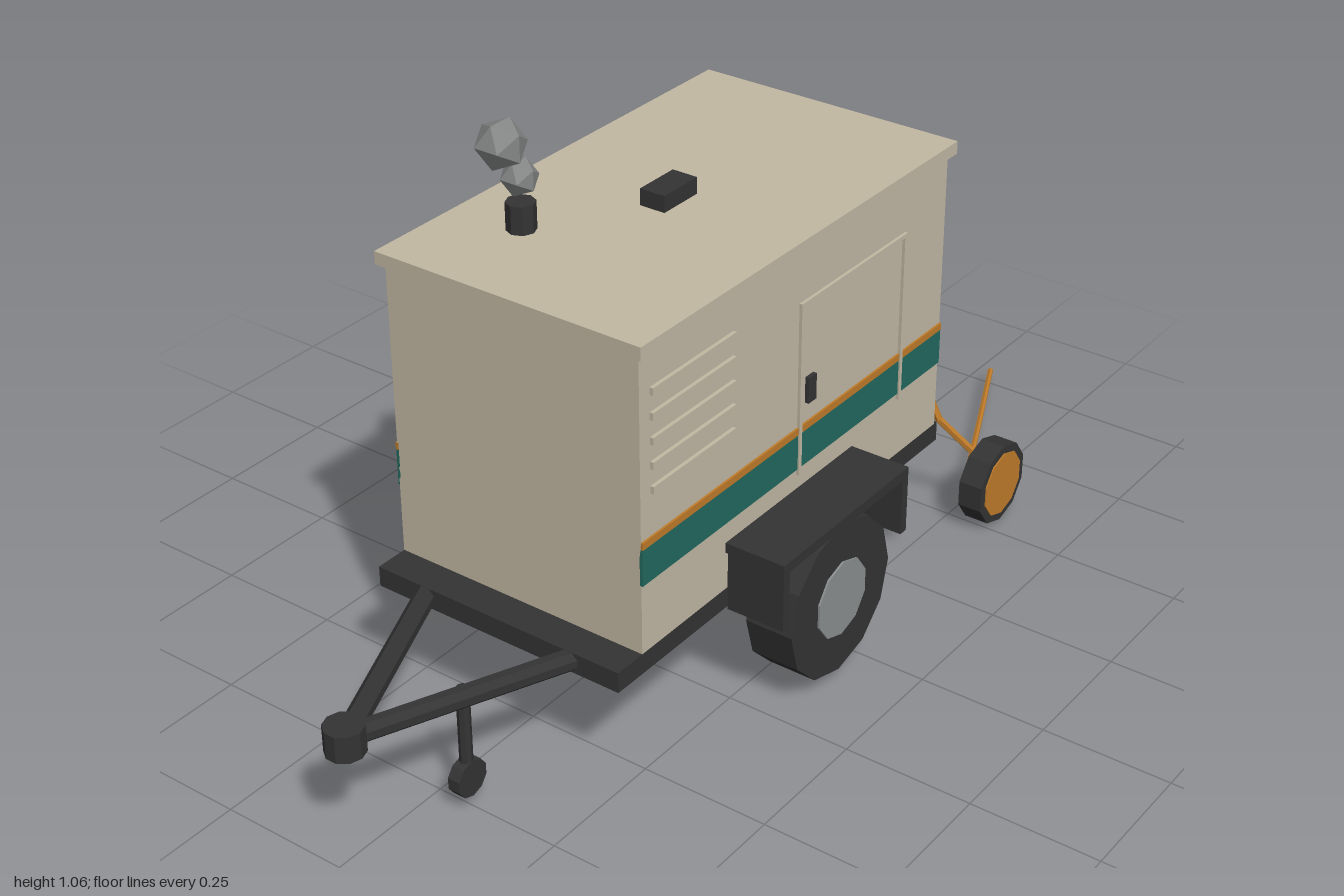
import * as THREE from 'three';

const mat = (name, color, flat = true) => {
  const m = new THREE.MeshStandardMaterial({ color, flatShading: flat });
  m.name = name;
  return m;
};

export function createModel() {
  const root = new THREE.Group();
  root.name = 'towableGenerator';
  const beige = mat('beigePaint', 0xc3b9a4);
  const dark = mat('darkSteel', 0x343434);
  const teal = mat('tealStripe', 0x22695f);
  const orange = mat('orange', 0xc07c2a);
  const hubGrey = mat('hubGrey', 0x8b8f8f);
  const smoke = mat('smokeGrey', 0x858787);

  const add = (name, geo, m, x = 0, y = 0, z = 0) => {
    const mesh = new THREE.Mesh(geo, m);
    mesh.name = name;
    mesh.position.set(x, y, z);
    root.add(mesh);
    return mesh;
  };
  // box given by its extents on each axis
  const box = (name, m, [x0, x1], [y0, y1], [z0, z1]) =>
    add(name, new THREE.BoxGeometry(x1 - x0, y1 - y0, z1 - z0), m,
      (x0 + x1) / 2, (y0 + y1) / 2, (z0 + z1) / 2);
  const cyl = (name, m, r, h, sides, x, y, z) =>
    add(name, new THREE.CylinderGeometry(r, r, h, sides), m, x, y, z);
  // cylinder with its axis along z
  const disc = (...args) => {
    const d = cyl(...args);
    d.rotation.x = Math.PI / 2;
    return d;
  };
  // straight rod between two points
  const rod = (name, m, r, sides, a, b) => {
    const p = new THREE.Vector3(...a), q = new THREE.Vector3(...b);
    const mid = p.clone().add(q).multiplyScalar(0.5);
    const mesh = cyl(name, m, r, p.distanceTo(q), sides, mid.x, mid.y, mid.z);
    mesh.quaternion.setFromUnitVectors(new THREE.Vector3(0, 1, 0), q.sub(p).normalize());
    return mesh;
  };
  const cable = (name, r, pts) => add(name, new THREE.TubeGeometry(
    new THREE.CatmullRomCurve3(pts.map(p => new THREE.Vector3(...p))), 12, r, 6), orange);

  // chassis, housing and roof
  box('chassis', dark, [-0.59, 0.41], [0.225, 0.265], [-0.265, 0.265]);
  box('housing', beige, [-0.524, 0.4], [0.265, 0.837], [-0.265, 0.265]);
  box('roof', beige, [-0.535, 0.41], [0.835, 0.86], [-0.278, 0.278]);
  box('roofHatch', dark, [-0.137, -0.043], [0.858, 0.892], [-0.026, 0.026]);

  // end panel and socket box
  box('endPanel', beige, [0.399, 0.407], [0.313, 0.788], [-0.238, 0.238]);
  box('socketBox', dark, [0.405, 0.415], [0.482, 0.6], [0.052, 0.212]);

  // details repeated on both long sides
  for (const s of [1, -1]) {
    const span = (a, b) => (s > 0 ? [a, b] : [-b, -a]);
    box('tealStripe', teal, [-0.524, 0.4], [0.402, 0.473], span(0.262, 0.268));
    box('orangeStripe', orange, [-0.524, 0.4], [0.473, 0.487], span(0.262, 0.269));
    box('doorFrameSide', beige, [-0.074, -0.066], [0.39, 0.733], span(0.263, 0.271));
    box('doorFrameSide', beige, [0.254, 0.262], [0.39, 0.733], span(0.263, 0.271));
    box('doorFrameTop', beige, [-0.074, 0.262], [0.725, 0.733], span(0.263, 0.271));
    box('doorHandle', dark, [-0.051, -0.027], [0.527, 0.578], span(0.263, 0.273));
    for (let i = 0; i < 5; i++) {
      const y = 0.76 - i * 0.046;
      box('louver', beige, [-0.497, -0.268], [y - 0.007, y + 0.007], span(0.263, 0.272));
    }

    // wheel, hub and mudguard
    disc('tyre', dark, 0.156, 0.096, 12, -0.09, 0.182, s * 0.329);
    disc('hub', hubGrey, 0.077, 0.104, 10, -0.09, 0.182, s * 0.329);
    box('mudguardTop', dark, [-0.287, 0.107], [0.34, 0.36], span(0.265, 0.387));
    box('mudguardEnd', dark, [-0.287, -0.269], [0.225, 0.345], span(0.27, 0.387));
    box('mudguardEnd', dark, [0.089, 0.107], [0.225, 0.345], span(0.27, 0.387));

    // support leg and drawbar
    cyl('supportLeg', dark, 0.013, 0.2, 8, 0.358, 0.13, s * 0.212);
    rod('drawbar', dark, 0.02, 8, [-0.96, 0.246, 0], [-0.575, 0.246, s * 0.165]);
  }

  // hitch and jockey wheel
  cyl('hitchCoupler', dark, 0.036, 0.052, 10, -0.964, 0.246, 0);
  cyl('jockeyLeg', dark, 0.012, 0.18, 8, -0.75, 0.155, 0.064);
  disc('jockeyWheel', dark, 0.036, 0.025, 10, -0.75, 0.061, 0.064);

  // exhaust stack and smoke puffs
  cyl('exhaustStack', dark, 0.027, 0.056, 8, -0.328, 0.885, -0.132);
  add('smokePuff', new THREE.IcosahedronGeometry(0.035, 0), smoke, -0.328, 0.958, -0.132);
  add('smokePuff', new THREE.IcosahedronGeometry(0.047, 0), smoke, -0.358, 1.026, -0.144);

  // cable reel with its two cable runs
  disc('reelRim', dark, 0.085, 0.05, 10, 0.543, 0.087, 0.318);
  disc('reelFace', orange, 0.068, 0.055, 10, 0.543, 0.087, 0.318);
  rod('feedCable', orange, 0.008, 6, [0.412, 0.515, 0.13], [0.465, 0.235, 0.237]);
  rod('feedCable', orange, 0.008, 6, [0.465, 0.235, 0.237], [0.535, 0.125, 0.305]);
  cable('groundCable', 0.006, [[0.545, 0.041, 0.255], [0.75, 0.037, 0.165], [0.998, 0.035, 0.052]]);

  return root;
}
